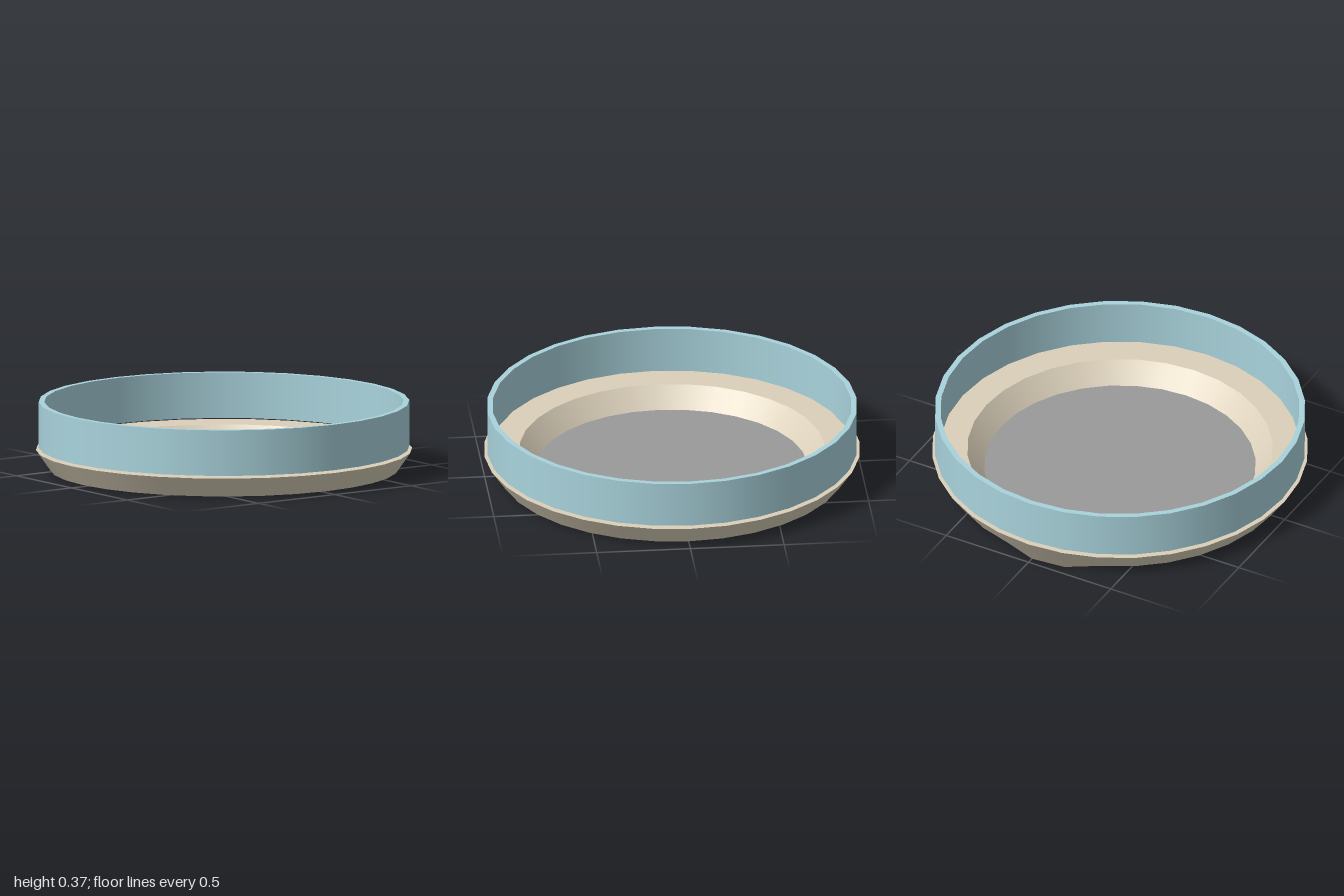
import * as THREE from 'three';
import { mergeGeometries } from 'three/addons/utils/BufferGeometryUtils.js';

const SIDES = 32;

// Closed ring from [radius, y] corners (counter-clockwise), smooth around, sharp at each corner
function ringGeometry(profile) {
  const bands = profile.map((p, i) => {
    const q = profile[(i + 1) % profile.length];
    return new THREE.LatheGeometry([new THREE.Vector2(...p), new THREE.Vector2(...q)], SIDES);
  });
  return mergeGeometries(bands);
}

function addPart(group, name, geometry, color, side = THREE.FrontSide) {
  const material = new THREE.MeshStandardMaterial({ color, side });
  const mesh = new THREE.Mesh(geometry, material);
  mesh.name = name;
  group.add(mesh);
  return mesh;
}

export function createModel() {
  const group = new THREE.Group();
  group.name = 'roundTray';

  // Bevelled base ring
  const base = ringGeometry([[0.925, 0.01], [1, 0.118], [0.812, 0.118], [0.722, 0.01]]);

  // Small lip pulled out of the lower outer edge on the -x side
  const pos = base.attributes.position;
  for (let i = 0; i < pos.count; i++) {
    const x = pos.getX(i), y = pos.getY(i), z = pos.getZ(i);
    if (y < 0.02 && x < -0.89 && z > -0.05 && z < 0.25) {
      pos.setXYZ(i, x * 1.042, 0.002, z * 1.042);
    }
  }
  addPart(group, 'baseRing', base, 0xdbd0ba);

  // Upright wall, floating just above the base
  const wall = ringGeometry([[0.985, 0.13], [0.985, 0.375], [0.955, 0.375], [0.955, 0.13]]);
  addPart(group, 'wall', wall, 0xa9d3dc);

  // Uneven floor sheet under the base ring, as [x, z]
  const outline = [
    [0.6, -0.51], [0.17, -0.77], [-0.05, -0.79], [-0.51, -0.6], [-0.77, -0.18], [-0.78, -0.03],
    [-0.6, 0.5], [-0.07, 0.81], [0.51, 0.6], [0.79, 0.17], [0.81, -0.04],
  ];
  const floor = new THREE.ShapeGeometry(new THREE.Shape(outline.map(([x, z]) => new THREE.Vector2(x, -z))));
  floor.rotateX(-Math.PI / 2);
  addPart(group, 'floor', floor, 0x9a9a9a, THREE.DoubleSide).position.y = 0.005;

  return group;
}
